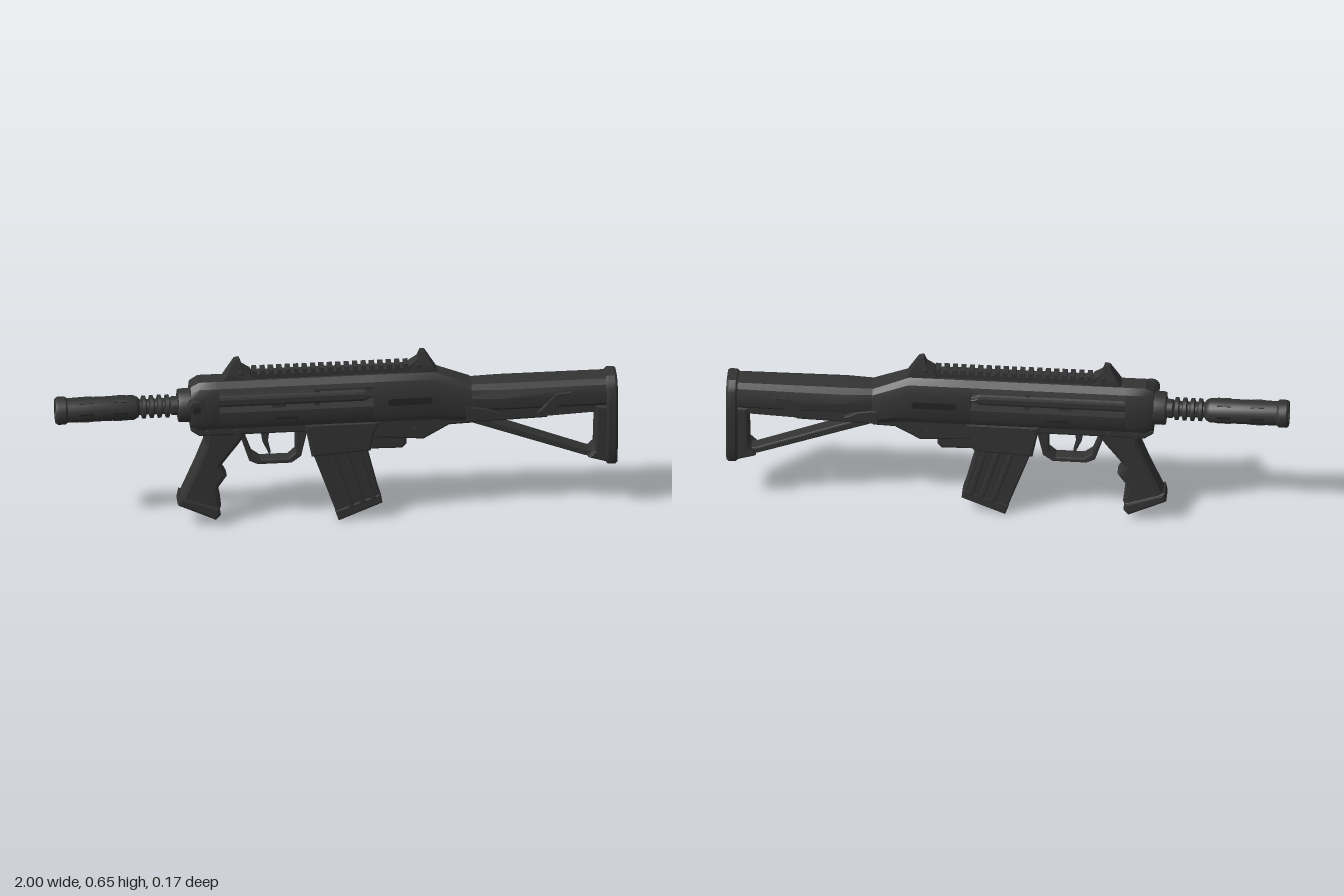
import * as THREE from 'three';
import { toCreasedNormals } from 'three/addons/utils/BufferGeometryUtils.js';

export function createModel() {
  const model = new THREE.Group();
  const root = new THREE.Group();
  root.name = 'rifle';
  root.position.z = -0.01;
  model.add(root);

  const gunmetal = new THREE.MeshStandardMaterial({ color: 0x333333 });
  gunmetal.name = 'gunmetal';
  const recessBlack = new THREE.MeshStandardMaterial({ color: 0x242424 });
  recessBlack.name = 'recessBlack';

  function add(name, geo, mat = gunmetal) {
    const m = new THREE.Mesh(geo, mat);
    m.name = name;
    root.add(m);
    return m;
  }

  // Loft along x: sections are [x, [[y, halfWidth], ... bottom to top]]
  function loft(sections) {
    const rings = sections.map(([x, pts]) => [
      ...pts.map(([y, w]) => [x, y, w]),
      ...pts.slice().reverse().map(([y, w]) => [x, y, -w]),
    ]);
    const out = [];
    const n = rings[0].length;
    for (let i = 0; i < rings.length - 1; i++) {
      for (let j = 0; j < n; j++) {
        const a = rings[i][j], b = rings[i][(j + 1) % n];
        const c = rings[i + 1][(j + 1) % n], d = rings[i + 1][j];
        out.push(...a, ...d, ...c, ...a, ...c, ...b);
      }
    }
    const s = rings[0], e = rings[rings.length - 1];
    for (let j = 1; j < n - 1; j++) {
      out.push(...s[0], ...s[j], ...s[j + 1], ...e[0], ...e[j + 1], ...e[j]);
    }
    const g = new THREE.BufferGeometry();
    g.setAttribute('position', new THREE.Float32BufferAttribute(out, 3));
    return toCreasedNormals(g, 0.5);
  }

  // Side outline extruded across z, centred, with bevelled edges inside the outline
  function plate(pts, depth, bevel = 0.008) {
    const shape = new THREE.Shape(pts.map(([x, y]) => new THREE.Vector2(x, y)));
    const g = new THREE.ExtrudeGeometry(shape, {
      depth: depth - 2 * bevel, bevelEnabled: bevel > 0, bevelThickness: bevel,
      bevelSize: bevel, bevelOffset: -bevel, bevelSegments: 2,
    });
    return g.translate(0, 0, -depth / 2 + bevel);
  }

  function box(name, x0, x1, y0, y1, depth, z = 0, mat = gunmetal) {
    const m = add(name, new THREE.BoxGeometry(x1 - x0, y1 - y0, depth), mat);
    m.position.set((x0 + x1) / 2, (y0 + y1) / 2, z);
    return m;
  }

  // Cylinder across z
  function pin(name, x, y, z, r, len, mat = gunmetal) {
    const m = add(name, new THREE.CylinderGeometry(r, r, len, 16).rotateX(Math.PI / 2), mat);
    m.position.set(x, y, z);
  }

  // Flat rounded slot marking on both sides
  function sideSlot(name, x0, x1, y0, y1, z) {
    const r = (y1 - y0) / 2, s = new THREE.Shape();
    s.absarc(x1 - r, y0 + r, r, -Math.PI / 2, Math.PI / 2);
    s.absarc(x0 + r, y0 + r, r, Math.PI / 2, Math.PI * 1.5);
    for (const side of [1, -1]) {
      const g = new THREE.ExtrudeGeometry(s, { depth: 0.004, bevelEnabled: false, curveSegments: 6 });
      add(name, g, recessBlack).position.z = side * z - 0.002;
    }
  }

  // Upper receiver: solid ends joined by a cap and a sill around the open bolt slot
  const full = [[0.4, 0.052], [0.43, 0.065], [0.525, 0.065], [0.56, 0.052], [0.578, 0.03]];
  add('receiverFront', loft([
    [-0.52, [[0.405, 0.045], [0.43, 0.058], [0.52, 0.058], [0.545, 0.045], [0.56, 0.028]]],
    [-0.49, full], [-0.42, full],
  ]));
  const cap = [[0.545, 0.058], [0.56, 0.052], [0.578, 0.03]];
  add('receiverTop', loft([[-0.42, cap], [0.13, cap]]));
  const sill = [[0.4, 0.052], [0.43, 0.065], [0.47, 0.065]];
  add('receiverSill', loft([[-0.42, sill], [0.13, sill]]));
  add('receiverRear', loft([
    [0.13, full], [0.35, full],
    [0.48, [[0.385, 0.05], [0.41, 0.066], [0.48, 0.066], [0.51, 0.055], [0.524, 0.035]]],
  ]));
  sideSlot('rearVent', 0.18, 0.34, 0.47, 0.497, 0.066);

  // Bolt carrier inside the slot
  add('bolt', plate([[-0.44, 0.481], [0.1, 0.481], [0.14, 0.503], [0.1, 0.524], [-0.44, 0.524]], 0.1, 0.012));
  box('boltBridge', -0.08, -0.06, 0.47, 0.548, 0.08);
  box('boltCover', -0.06, 0.13, 0.52, 0.542, 0.06);
  box('boltRib', -0.23, -0.18, 0.468, 0.485, 0.08);

  // Lower receiver
  add('lowerReceiver', plate([[-0.52, 0.41], [-0.52, 0.392], [-0.49, 0.37], [-0.11, 0.37], [0.1, 0.335],
    [0.31, 0.32], [0.40, 0.372], [0.48, 0.375], [0.48, 0.41]], 0.1));
  add('magazineWell', plate([[-0.115, 0.402], [-0.09, 0.27], [0.12, 0.285], [0.13, 0.345], [0.15, 0.402]], 0.112));
  add('lowerHousing', plate([[0.11, 0.36], [0.12, 0.285], [0.235, 0.283], [0.25, 0.30], [0.25, 0.36]], 0.085));
  for (const [x, y] of [[-0.46, 0.388], [-0.36, 0.388], [-0.09, 0.385], [0.1, 0.385], [-0.06, 0.34], [0.08, 0.31], [0.28, 0.36]]) {
    pin('receiverPin', x, y, 0, 0.009, 0.118);
  }
  sideSlot('receiverMark', -0.22, -0.14, 0.435, 0.447, 0.066);

  // Barrel, rings and muzzle tube turned around x
  const barrel = [[0, -0.93], [0.026, -0.93], [0.026, -1], [0.044, -1], [0.05, -0.992], [0.05, -0.965], [0.044, -0.958],
    [0.044, -0.72], [0.036, -0.705], [0.028, -0.7]];
  for (let i = 0; i < 4; i++) {
    const x = -0.695 + i * 0.028;
    barrel.push([0.028, x], [0.041, x + 0.004], [0.041, x + 0.016], [0.028, x + 0.02]);
  }
  barrel.push([0.034, -0.585], [0.034, -0.565], [0.058, -0.563], [0.06, -0.555], [0.06, -0.5], [0, -0.5]);
  const lathe = new THREE.LatheGeometry(barrel.map(([r, x]) => new THREE.Vector2(r, x)), 24);
  add('barrel', toCreasedNormals(lathe.rotateZ(-Math.PI / 2), 0.6)).position.y = 0.475;
  for (let k = 0; k < 6; k++) {
    for (const x of [-0.89, -0.77]) {
      const a = k * Math.PI / 3;
      const slot = box('muzzleSlot', x - 0.025, x + 0.025, 0, 0.008, 0.009, 0, recessBlack);
      slot.position.set(x, 0.475 + Math.sin(a) * 0.0415, Math.cos(a) * 0.0415);
      slot.rotation.x = Math.PI / 2 - a;
    }
  }

  // Side knob near the front
  pin('sideKnob', -0.503, 0.502, 0.073, 0.03, 0.046);
  pin('knobCentre', -0.503, 0.502, 0.0955, 0.015, 0.003, recessBlack);

  // Top rail with teeth and two tapered sights
  box('railBase', -0.38, 0.34, 0.572, 0.596, 0.044);
  for (let i = 0; i < 20; i++) {
    const x = -0.3 + i * 0.03;
    box('railTooth', x, x + 0.018, 0.594, 0.611, 0.044);
  }
  for (const rear of [false, true]) {
    let pts = [[-0.405, 0.575], [-0.29, 0.575], [-0.305, 0.602], [-0.335, 0.625], [-0.345, 0.655], [-0.362, 0.652], [-0.39, 0.6]];
    if (rear) pts = pts.map(([x, y]) => [-0.045 - x, y]).reverse();
    const g = plate(pts, 0.056, 0);
    const p = g.attributes.position;
    for (let i = 0; i < p.count; i++) {
      const t = Math.max(0, (p.getY(i) - 0.595) / 0.06);
      p.setZ(i, p.getZ(i) * (1 - 0.52 * t));
    }
    g.computeVertexNormals();
    add(rear ? 'rearSight' : 'frontSight', g);
    pin('sightScrew', rear ? 0.295 : -0.34, 0.603, 0, 0.011, 0.064);
  }

  // Pistol grip with finger swells
  add('grip', plate([[-0.47, 0.385], [-0.47, 0.33], [-0.5, 0.25], [-0.555, 0.12], [-0.55, 0.085], [-0.425, 0.04],
    [-0.41, 0.075], [-0.415, 0.12], [-0.42, 0.15], [-0.39, 0.195], [-0.412, 0.235], [-0.375, 0.285],
    [-0.345, 0.325], [-0.31, 0.385]], 0.076, 0.016));
  add('gripBase', plate([[-0.558, 0.125], [-0.565, 0.09], [-0.43, 0.025], [-0.412, 0.045], [-0.418, 0.075]], 0.087, 0.01));

  // Trigger and guard
  add('triggerGuard', plate([[-0.35, 0.375], [-0.31, 0.25], [-0.28, 0.235], [-0.16, 0.235], [-0.125, 0.26], [-0.1, 0.375],
    [-0.145, 0.375], [-0.145, 0.275], [-0.17, 0.252], [-0.27, 0.252], [-0.3, 0.275], [-0.325, 0.345], [-0.32, 0.375]], 0.05, 0.004));
  add('trigger', plate([[-0.27, 0.375], [-0.262, 0.32], [-0.238, 0.265], [-0.232, 0.275], [-0.242, 0.32], [-0.235, 0.375]], 0.022, 0.003));

  // Magazine with slanted ribs
  add('magazine', plate([[-0.09, 0.29], [0.005, 0.015], [0.16, 0.072], [0.105, 0.3]], 0.07, 0.006));
  add('magazineBase', plate([[-0.005, 0.04], [0.008, 0], [0.164, 0.064], [0.154, 0.1]], 0.076, 0.006));
  for (const t of [0.28, 0.55, 0.8]) {
    const xt = -0.085 + 0.19 * t, xb = 0.003 + 0.15 * t, yb = 0.035 + 0.055 * t;
    add('magazineRib', plate([[xt, 0.29], [xb, yb], [xb + 0.018, yb + 0.007], [xt + 0.018, 0.29]], 0.08, 0.004));
  }

  // Stock tube and frame
  add('stockTube', loft([
    [0.44, [[0.42, 0.03], [0.44, 0.055], [0.48, 0.06], [0.51, 0.05], [0.522, 0.03]]],
    [0.58, [[0.415, 0.035], [0.44, 0.068], [0.48, 0.073], [0.51, 0.06], [0.524, 0.035]]],
    [0.97, [[0.415, 0.035], [0.44, 0.063], [0.48, 0.066], [0.51, 0.055], [0.524, 0.035]]],
  ]));
  add('stockRail', plate([[0.46, 0.43], [0.47, 0.372], [0.75, 0.38], [0.775, 0.418], [0.88, 0.418], [0.92, 0.39], [0.97, 0.39], [0.97, 0.43]], 0.085));
  add('stockStrut', plate([[0.46, 0.395], [0.48, 0.365], [0.885, 0.212], [0.97, 0.192], [0.97, 0.225], [0.895, 0.234], [0.53, 0.378]], 0.05, 0.005));
  add('stockPost', plate([[0.925, 0.42], [0.92, 0.24], [0.895, 0.215], [0.975, 0.19], [0.975, 0.42]], 0.1));
  for (const side of [1, -1]) {
    add('stockBracket', plate([[0.71, 0.415], [0.78, 0.49], [0.83, 0.495], [0.77, 0.415]], 0.009, 0.002)).position.z = side * 0.069;
    add('stockGusset', plate([[0.46, 0.45], [0.46, 0.39], [0.58, 0.415], [0.53, 0.44]], 0.02, 0.003)).position.z = side * 0.058;
  }

  // Butt plate
  const butt = [[0.185, 0.045], [0.205, 0.056], [0.26, 0.064], [0.43, 0.076], [0.5, 0.067], [0.52, 0.055], [0.535, 0.035]];
  const inset = butt.map(([y, w]) => [0.36 + (y - 0.36) * 0.97, w * 0.93]);
  add('buttPlate', loft([[0.96, inset], [0.967, butt], [0.992, butt], [1, inset]]));

  return model;
}
